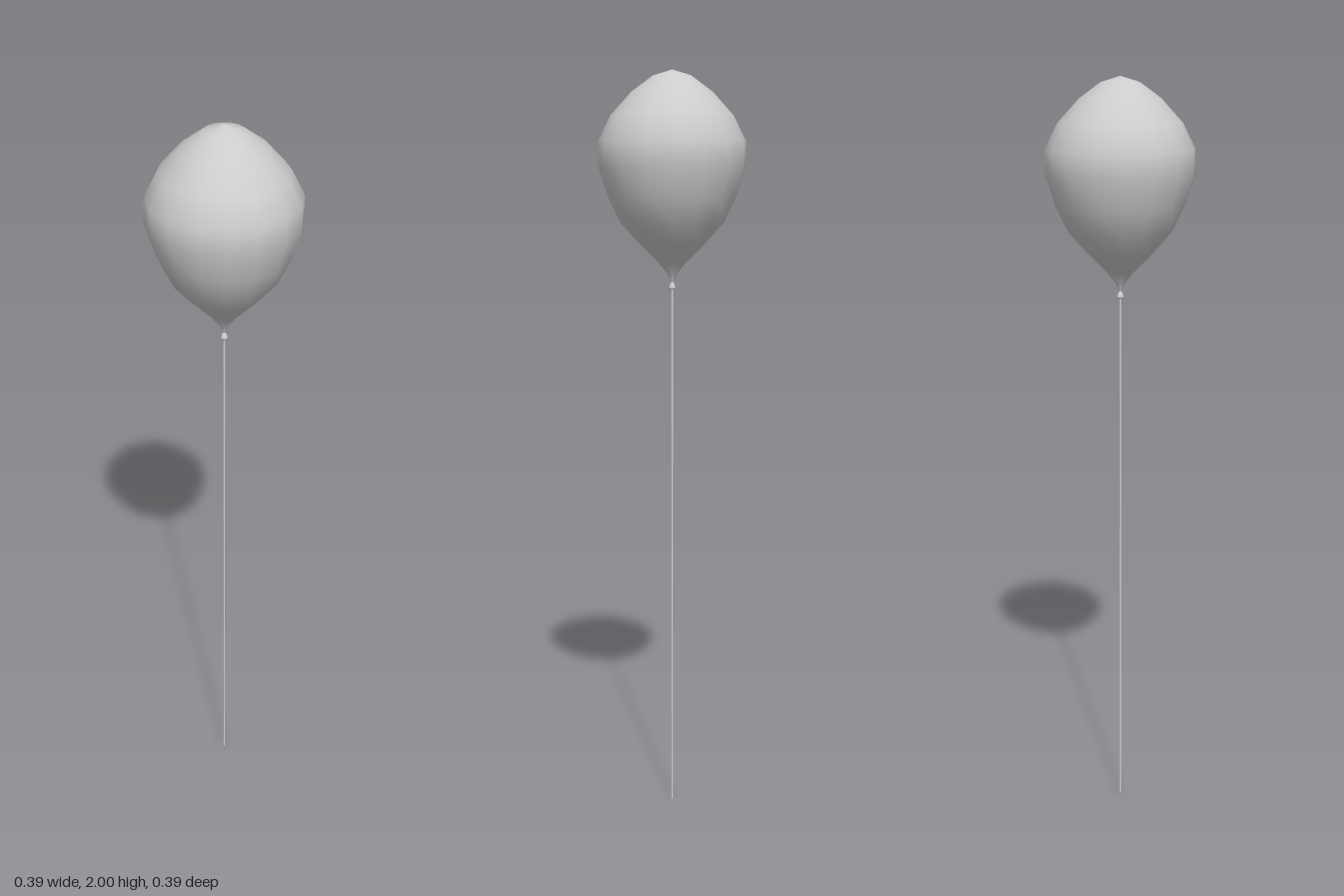
import * as THREE from 'three';

// Spin a list of [radius, height] points, bottom to top
function spin(name, points, sides, material) {
  const profile = points.map(([r, y]) => new THREE.Vector2(r, y));
  const mesh = new THREE.Mesh(new THREE.LatheGeometry(profile, sides), material);
  mesh.name = name;
  return mesh;
}

export function createModel() {
  const model = new THREE.Group();
  model.name = 'balloonOnString';
  const lightGrey = new THREE.MeshStandardMaterial({ color: 0xcccccc });
  lightGrey.name = 'lightGrey';

  // Inflated teardrop body
  model.add(spin('balloon', [
    [0.004, 1.455], [0.011, 1.475], [0.034, 1.504], [0.09, 1.56],
    [0.135, 1.61], [0.167, 1.675], [0.193, 1.755], [0.193, 1.82],
    [0.16, 1.885], [0.105, 1.945], [0.05, 1.985], [0, 2],
  ], 16, lightGrey));

  // Small flared knot under the neck
  model.add(spin('knot', [
    [0, 1.436], [0.01, 1.437], [0.009, 1.443], [0.004, 1.455], [0, 1.46],
  ], 16, lightGrey));

  // Thin straight string
  const string = new THREE.Mesh(new THREE.CylinderGeometry(0.003, 0.003, 1.44, 8), lightGrey);
  string.name = 'string';
  string.position.y = 0.72;
  model.add(string);

  return model;
}
